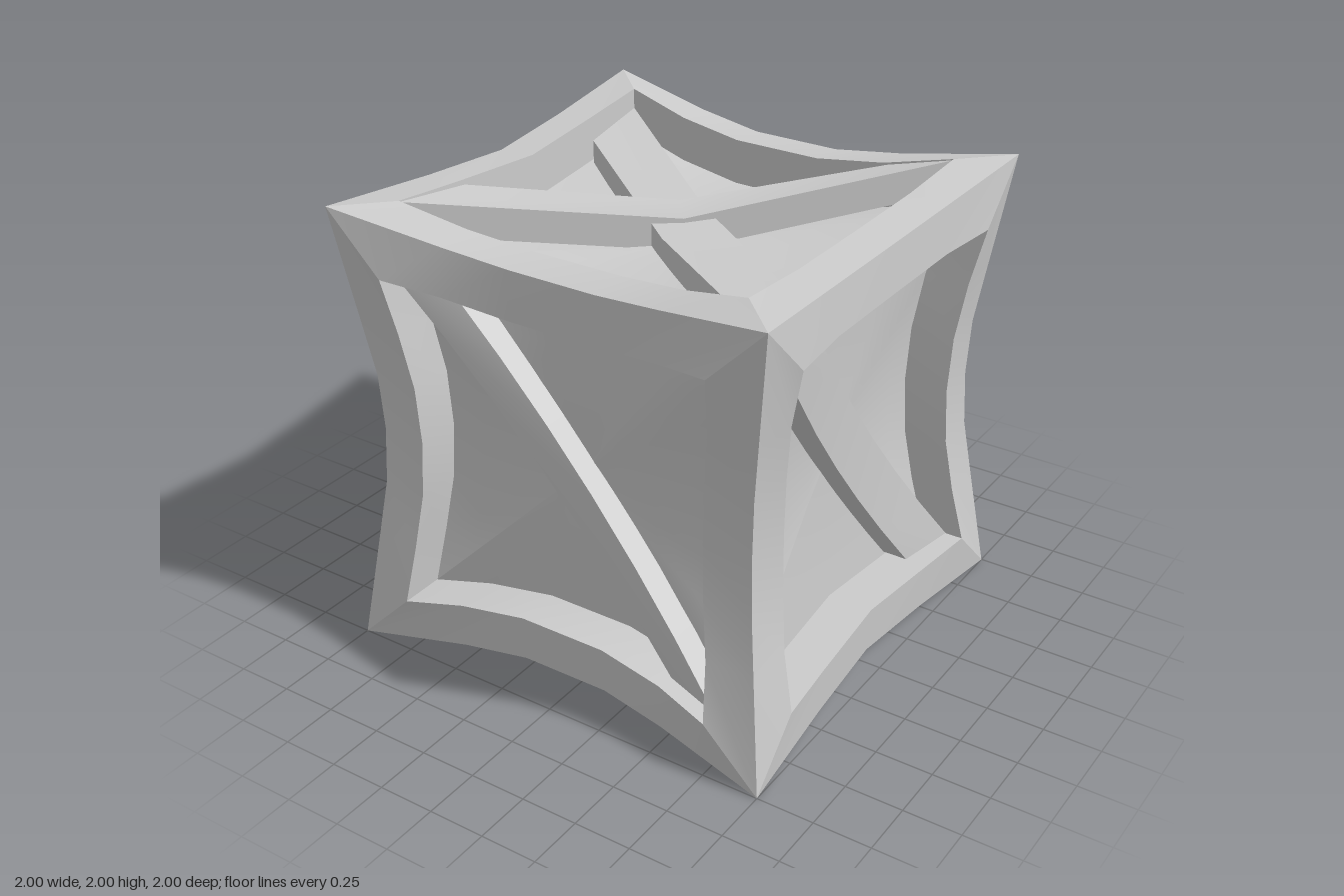
import * as THREE from 'three';

const material = new THREE.MeshStandardMaterial({ color: 0xcccccc });

// Half profile of each cube edge, by its axis: [position along edge, pinched distance from centre]
const EDGES = {
  x: [[0.2, 0.89], [0.5, 0.923], [1, 1]],
  y: [[0, 0.89], [0.25, 0.9], [0.5, 0.933], [1, 1]],
  z: [[0, 0.932], [0.44, 0.957], [1, 1]],
};
const RECESS = 0.2;        // depth of panel under the rim
const PANEL_CENTRE = 0.72; // height of the panel's sagging middle

function fullEdge(axis) {
  const half = EDGES[axis];
  const mirrored = half.filter(p => p[0] > 0).map(([t, o]) => [-t, o]).reverse();
  return [...mirrored, ...half];
}

// Smooth surface through rows of points
function surface(name, rows) {
  const n = rows[0].length, index = [];
  for (let r = 0; r < rows.length - 1; r++) {
    for (let i = 0; i < n - 1; i++) {
      const a = r * n + i, b = a + n;
      index.push(a, a + 1, b + 1, a, b + 1, b);
    }
  }
  const g = new THREE.BufferGeometry();
  g.setAttribute('position', new THREE.Float32BufferAttribute(rows.flat(2), 3));
  g.setIndex(index);
  g.computeVertexNormals();
  const mesh = new THREE.Mesh(g, material);
  mesh.name = name;
  return mesh;
}

const lower = (row, d) => row.map(([u, v, n]) => [u, v, n - d]);

// Diagonal plank between two edge lines a (right) and b (left), sagging in the middle
function brace(name, a0, a1, b0, b1, midHeight, steps) {
  const line = (p, q) => {
    const sag = midHeight - (p[2] + q[2]) / 2;
    return Array.from({ length: steps + 1 }, (_, i) => {
      const t = i / steps;
      const pt = p.map((c, k) => c + (q[k] - c) * t);
      pt[2] += sag * (1 - (2 * t - 1) ** 2);
      return pt;
    });
  };
  const a = line(a0, a1), b = line(b0, b1), thick = 0.14;
  const group = new THREE.Group();
  group.name = name;
  group.add(
    surface('braceTop', [a, b]),
    surface('braceSide', [lower(a, thick), a]),
    surface('braceSide', [b, lower(b, thick)]),
  );
  return group;
}

// One crate face in local u, v and outward n
function crateFace(name, uAxis, vAxis, corner, width) {
  const group = new THREE.Group();
  group.name = name;
  const rimLoop = [];
  for (let side = 0; side < 4; side++) {
    const turn = (t, o, n) => [[t, -o, n], [o, t, n], [-t, o, n], [-o, -t, n]][side];
    const edge = fullEdge(side % 2 ? vAxis : uAxis);
    const outer = edge.map(([t, o]) => turn(t, o, o));
    const rim = edge.map(([t, o]) => Math.abs(t) === 1
      ? turn(t * corner, corner, 1)
      : turn(t, o - width, o + 0.012));
    group.add(surface('frameRail', [outer, rim]));
    group.add(surface('recessWall', [rim, lower(rim, RECESS)]));
    rimLoop.push(...lower(rim, RECESS).slice(0, -1));
  }
  rimLoop.push(rimLoop[0]);
  // Sagging panel, as rings shrinking to the middle
  const rings = [1, 0.75, 0.5, 0.25, 0].map(s => rimLoop.map(([u, v, n]) =>
    [u * s, v * s, PANEL_CENTRE + (n - PANEL_CENTRE) * s * s]));
  group.add(surface('panel', rings));
  return group;
}

export function createModel() {
  const model = new THREE.Group();
  model.name = 'pinchedCrate';

  const place = (face, u, v, n) => {
    const basis = new THREE.Matrix4().makeBasis(
      new THREE.Vector3(...u), new THREE.Vector3(...v), new THREE.Vector3(...n));
    face.quaternion.setFromRotationMatrix(basis);
    face.position.y = 1;
    model.add(face);
  };

  // Four sides, each with a single diagonal brace
  const sides = [
    ['frontFace', 'x', [1, 0, 0], [0, 0, 1]],
    ['leftFace', 'z', [0, 0, -1], [1, 0, 0]],
    ['backFace', 'x', [-1, 0, 0], [0, 0, -1]],
    ['rightFace', 'z', [0, 0, 1], [-1, 0, 0]],
  ];
  for (const [name, axis, u, n] of sides) {
    const face = crateFace(name, axis, 'y', 0.75, 0.208);
    const [e, f, h] = axis === 'x' ? [0.51, 0.715, 0.86] : [0.44, 0.735, 0.88];
    face.add(brace('diagonalBrace',
      [-0.75, 0.75, 0.92], [e, -f, h], [-e, f, h], [0.75, -0.75, 0.92], 0.83, 6));
    place(face, u, [0, 1, 0], n);
  }

  // Lid with two crossed braces
  const lid = crateFace('topFace', 'x', 'z', 0.8, 0.168);
  lid.add(brace('upperLidBrace',
    [-0.8, -0.8, 0.995], [0.8, 0.8, 0.995], [-0.77, -0.44, 0.955], [0.52, 0.755, 0.93], 0.83, 2));
  lid.add(brace('lowerLidBrace',
    [-0.77, 0.44, 0.87], [0.8, -0.8, 0.91], [-0.8, 0.8, 0.91], [0.77, -0.44, 0.87], 0.812, 2));
  place(lid, [1, 0, 0], [0, 0, -1], [0, 1, 0]);

  // Plain underside
  place(crateFace('bottomFace', 'x', 'z', 0.8, 0.168), [1, 0, 0], [0, 0, 1], [0, -1, 0]);
  return model;
}
